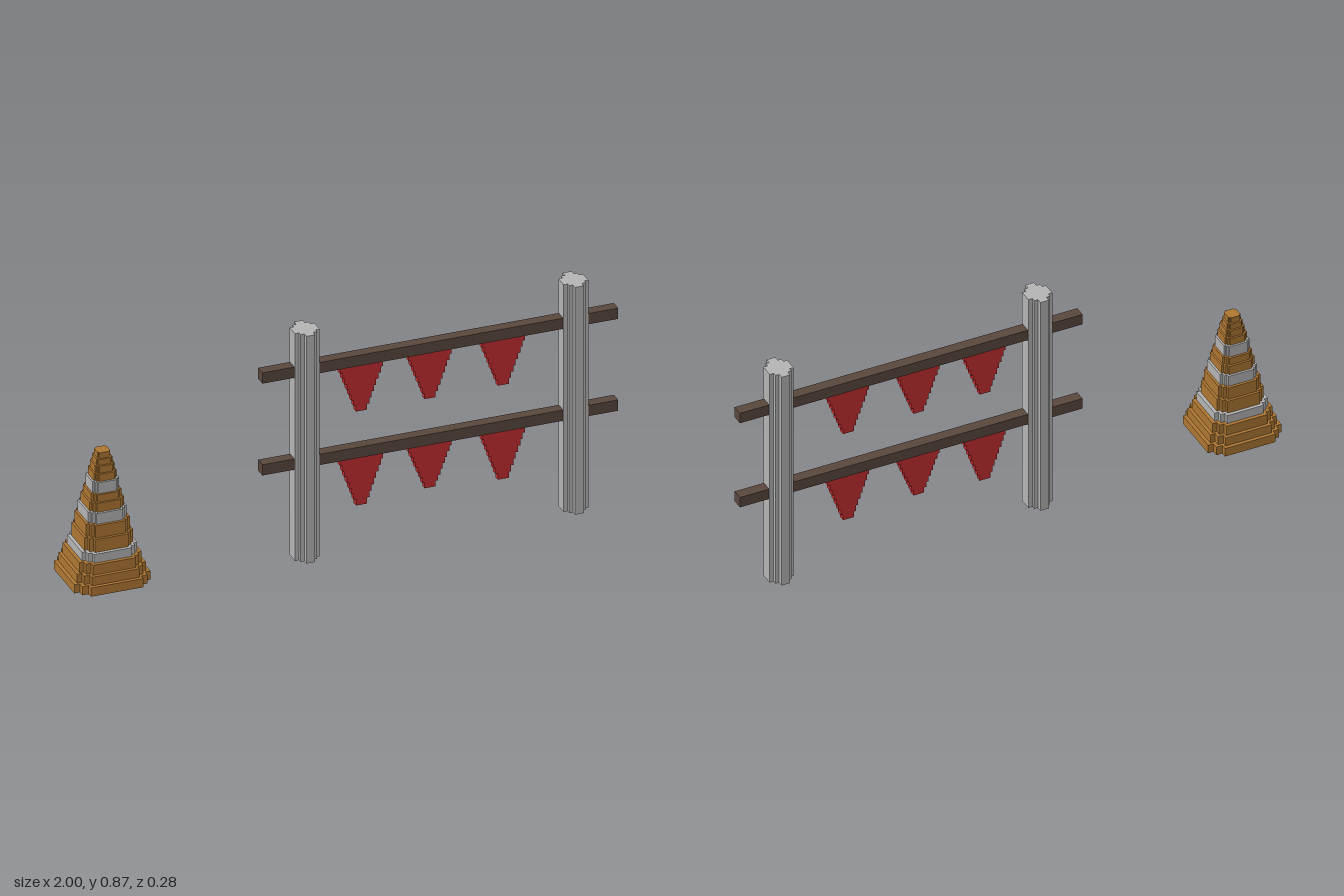
import * as THREE from 'three';

const mat = (name, color) => {
  const m = new THREE.MeshStandardMaterial({ color });
  m.name = name;
  return m;
};

// Prism standing on y with a stepped-corner outline; corners lists [x, z] of the outer steps
function steppedPrism(corners, height) {
  const quarter = [];
  corners.forEach(([x, z], i) => {
    if (i > 0) quarter.push([x, corners[i - 1][1]]);
    quarter.push([x, z]);
  });
  const back = [...quarter].reverse();
  const outline = [
    ...quarter,
    ...back.map(([x, z]) => [-x, z]),
    ...quarter.map(([x, z]) => [-x, -z]),
    ...back.map(([x, z]) => [x, -z]),
  ];
  const shape = new THREE.Shape(outline.map(([x, z]) => new THREE.Vector2(x, z)));
  const geo = new THREE.ExtrudeGeometry(shape, { depth: height, bevelEnabled: false });
  return geo.rotateX(-Math.PI / 2);
}

// Pennant hanging down from y = 0, narrowing in steps
function pennantGeometry(drop, steps = 8) {
  const right = [];
  for (let i = 0; i < steps; i++) {
    const half = 0.078 - 0.058 * (i / (steps - 1));
    right.push([half, -drop * i / steps], [half, -drop * (i + 1) / steps]);
  }
  const left = [...right].reverse().map(([x, y]) => [-x, y]);
  const shape = new THREE.Shape([...right, ...left].map(([x, y]) => new THREE.Vector2(x, y)));
  const geo = new THREE.ExtrudeGeometry(shape, { depth: 0.022, bevelEnabled: false });
  return geo.translate(0, 0, -0.011);
}

export function createModel() {
  const model = new THREE.Group();
  model.name = 'barrierAndCone';
  const grey = mat('grey', 0xb4b4b4);
  const orange = mat('orange', 0xae7733);
  const red = mat('red', 0xc22d2f);
  const brown = mat('brown', 0x5a473d);

  const add = (parent, name, geo, material, x, y, z = 0) => {
    const mesh = new THREE.Mesh(geo, material);
    mesh.name = name;
    mesh.position.set(x, y, z);
    parent.add(mesh);
  };

  // Barrier: two posts, two rails, a row of pennants under each rail
  const barrier = new THREE.Group();
  barrier.name = 'barrier';
  model.add(barrier);

  const post = steppedPrism([[0.045, 0.024], [0.03, 0.038], [0.016, 0.057]], 0.866);
  add(barrier, 'rightPost', post, grey, -0.129, 0);
  add(barrier, 'leftPost', post, grey, 0.845, 0);

  const rail = new THREE.BoxGeometry(1.29, 0.041, 0.04);
  add(barrier, 'upperRail', rail, brown, 0.355, 0.716);
  add(barrier, 'lowerRail', rail, brown, 0.355, 0.366);

  const pennantX = [0.073, 0.322, 0.587];
  [['upper', 0.696, [0.177, 0.177, 0.177]], ['lower', 0.346, [0.185, 0.167, 0.185]]]
    .forEach(([row, y, drops]) => pennantX.forEach((x, i) =>
      add(barrier, `${row}Pennant${i + 1}`, pennantGeometry(drops[i]), red, x, y)));

  // Cone: stacked layers of [bottom, half width, material]
  const cone = new THREE.Group();
  cone.name = 'trafficCone';
  cone.position.x = -0.863;
  model.add(cone);
  const layers = [
    [0.069, 0.138, orange], [0.102, 0.125, orange], [0.135, 0.113, orange],
    [0.173, 0.1, grey], [0.206, 0.088, orange], [0.255, 0.079, orange],
    [0.302, 0.07, grey], [0.343, 0.062, orange], [0.377, 0.055, orange],
    [0.405, 0.048, grey], [0.447, 0.041, orange], [0.475, 0.035, orange],
    [0.502, 0.029, orange], [0.524, 0.023, orange],
  ];
  layers.forEach(([y, h, material], i) => {
    const top = i + 1 < layers.length ? layers[i + 1][0] : 0.546;
    const corners = [[h, h * 0.69], [h * 0.855, h * 0.855], [h * 0.69, h]];
    add(cone, material === grey ? 'coneStripe' : 'coneLayer', steppedPrism(corners, top - y), material, 0, y);
  });

  return model;
}
